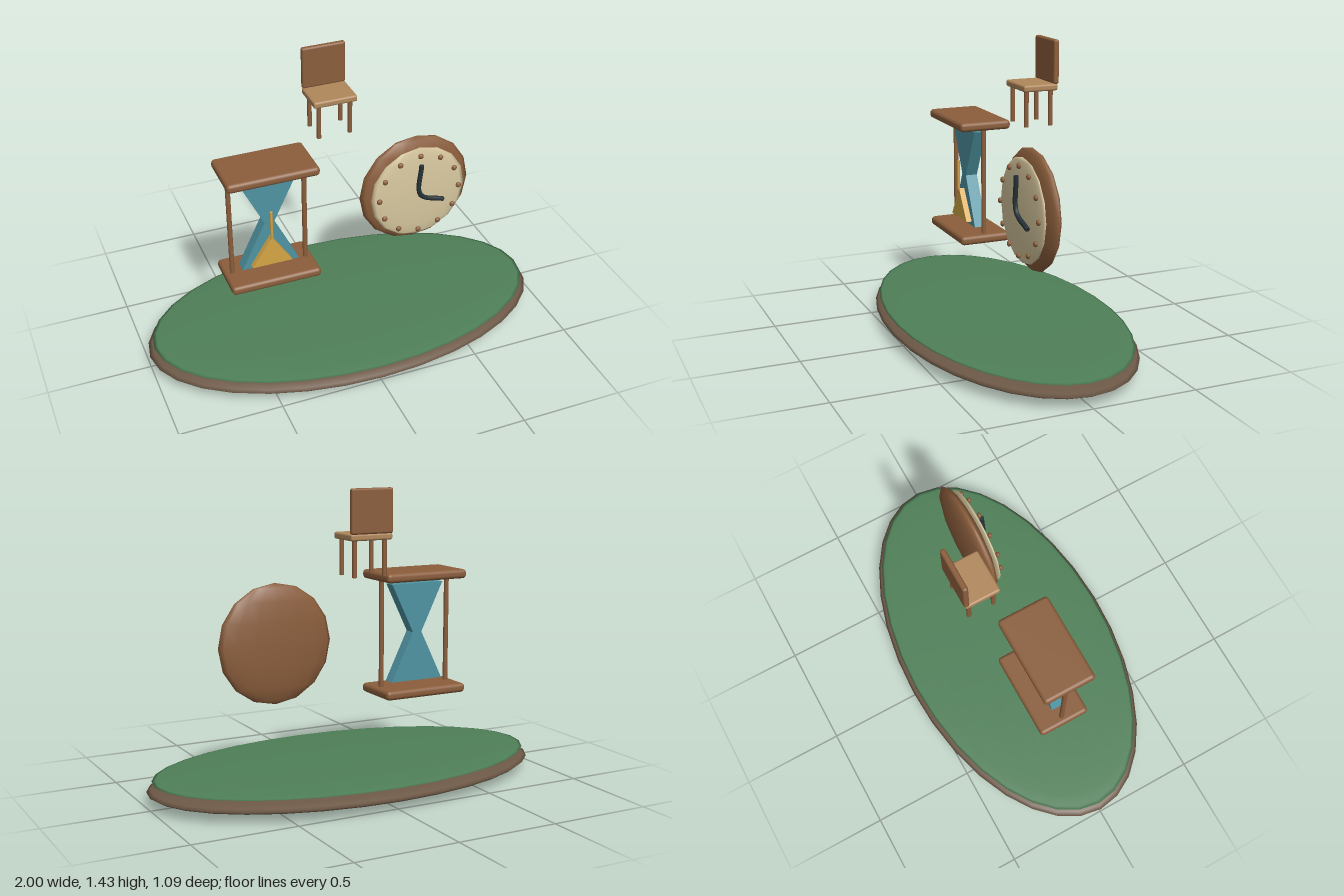
import * as THREE from 'three';
import { RoundedBoxGeometry } from 'three/addons/geometries/RoundedBoxGeometry.js';

const mat = (color) => new THREE.MeshStandardMaterial({ color });
const wood = mat(0x8b5e3c), paleWood = mat(0xb0885c), earth = mat(0x6d5846), grass = mat(0x4f8058);
const cream = mat(0xd9c9a0), glass = mat(0x4f94a3), sand = mat(0xd4a545), dark = mat(0x263238);

function add(parent, name, geometry, material, x = 0, y = 0, z = 0) {
  const mesh = new THREE.Mesh(geometry, material);
  mesh.name = name;
  mesh.position.set(x, y, z);
  parent.add(mesh);
  return mesh;
}

function group(parent, name, x, y, z) {
  const g = new THREE.Group();
  g.name = name;
  g.position.set(x, y, z);
  parent.add(g);
  return g;
}

// Flattened ball with the given half sizes
const lens = (rx, ry, rz, w, h) => new THREE.SphereGeometry(1, w, h).scale(rx, ry, rz);
const rod = (r, length) => new THREE.CylinderGeometry(r, r, length, 12);

// Flat outline extruded symmetrically about z = 0
function slab(points, depth) {
  const shape = new THREE.Shape(points.map(([x, y]) => new THREE.Vector2(x, y)));
  return new THREE.ExtrudeGeometry(shape, { depth, bevelEnabled: false }).translate(0, 0, -depth / 2);
}

export function createModel() {
  const model = new THREE.Group();
  model.name = 'floatingObjectsIsland';

  // Oval island with a grass cap
  const island = group(model, 'island', 0, 0, 0);
  add(island, 'earthBase', lens(1, 0.058, 0.547, 32, 16), earth, 0, 0.058, 0);
  add(island, 'grassTop', lens(0.975, 0.016, 0.527, 32, 16), grass, 0, 0.106, 0);

  // Hourglass: two boards, two posts, glass and sand
  const hourglass = group(model, 'hourglass', -0.38, 0.711, 0);
  for (const s of [-1, 1]) {
    add(hourglass, s > 0 ? 'topBoard' : 'bottomBoard',
      new RoundedBoxGeometry(0.444, 0.045, 0.26, 3, 0.018), wood, 0, s * 0.284, 0);
    add(hourglass, 'post', rod(0.012, 0.53), wood, s * 0.185, 0, 0);
  }
  add(hourglass, 'glass', slab([
    [-0.142, -0.241], [0.142, -0.241], [0.024, 0], [0.142, 0.241], [-0.142, 0.241], [-0.024, 0],
  ], 0.06), glass);
  add(hourglass, 'sandPile', slab([[-0.099, -0.222], [0.099, -0.222], [0, -0.07]], 0.03), sand, 0, 0, 0.043);
  add(hourglass, 'sandStream', rod(0.007, 0.15), sand, 0, 0, 0.06);

  // Clock: wooden body, face, twelve hour dots and bent hands
  const clock = group(model, 'clock', 0.373, 0.711, 0);
  add(clock, 'clockBody', lens(0.286, 0.286, 0.05, 16, 8), wood);
  add(clock, 'clockFace', lens(0.246, 0.246, 0.019, 16, 8), cream, 0, 0, 0.046);
  for (let i = 0; i < 12; i++) {
    const a = (i * Math.PI) / 6;
    add(clock, 'hourDot', lens(0.014, 0.014, 0.01, 10, 8), wood, 0.209 * Math.sin(a), 0.209 * Math.cos(a), 0.067);
  }
  const handPath = new THREE.CatmullRomCurve3([
    new THREE.Vector3(0, 0.165, 0), new THREE.Vector3(0, 0, 0), new THREE.Vector3(0.123, -0.053, 0),
  ]);
  const hands = add(clock, 'hands', new THREE.TubeGeometry(handPath, 16, 0.012, 8), dark, 0, 0, 0.079);
  // Caps closing both ends of the hands
  for (const t of [0, 1]) {
    const cap = add(hands, 'handEnd', new THREE.CircleGeometry(0.012, 8), dark);
    const p = handPath.getPoint(t), d = handPath.getTangent(t).multiplyScalar(t ? 1 : -1);
    cap.position.copy(p);
    cap.quaternion.setFromUnitVectors(new THREE.Vector3(0, 0, 1), d);
  }

  // Chair: seat, back and four legs
  const chair = group(model, 'chair', 0, 1.212, -0.167);
  add(chair, 'seat', new RoundedBoxGeometry(0.216, 0.032, 0.174, 2, 0.01), paleWood);
  add(chair, 'backrest', new RoundedBoxGeometry(0.216, 0.208, 0.027, 2, 0.01), wood, 0, 0.118, -0.079);
  for (const x of [-0.078, 0.078]) {
    for (const z of [-0.061, 0.063]) add(chair, 'leg', rod(0.011, 0.175), wood, x, -0.097, z);
  }
  return model;
}
